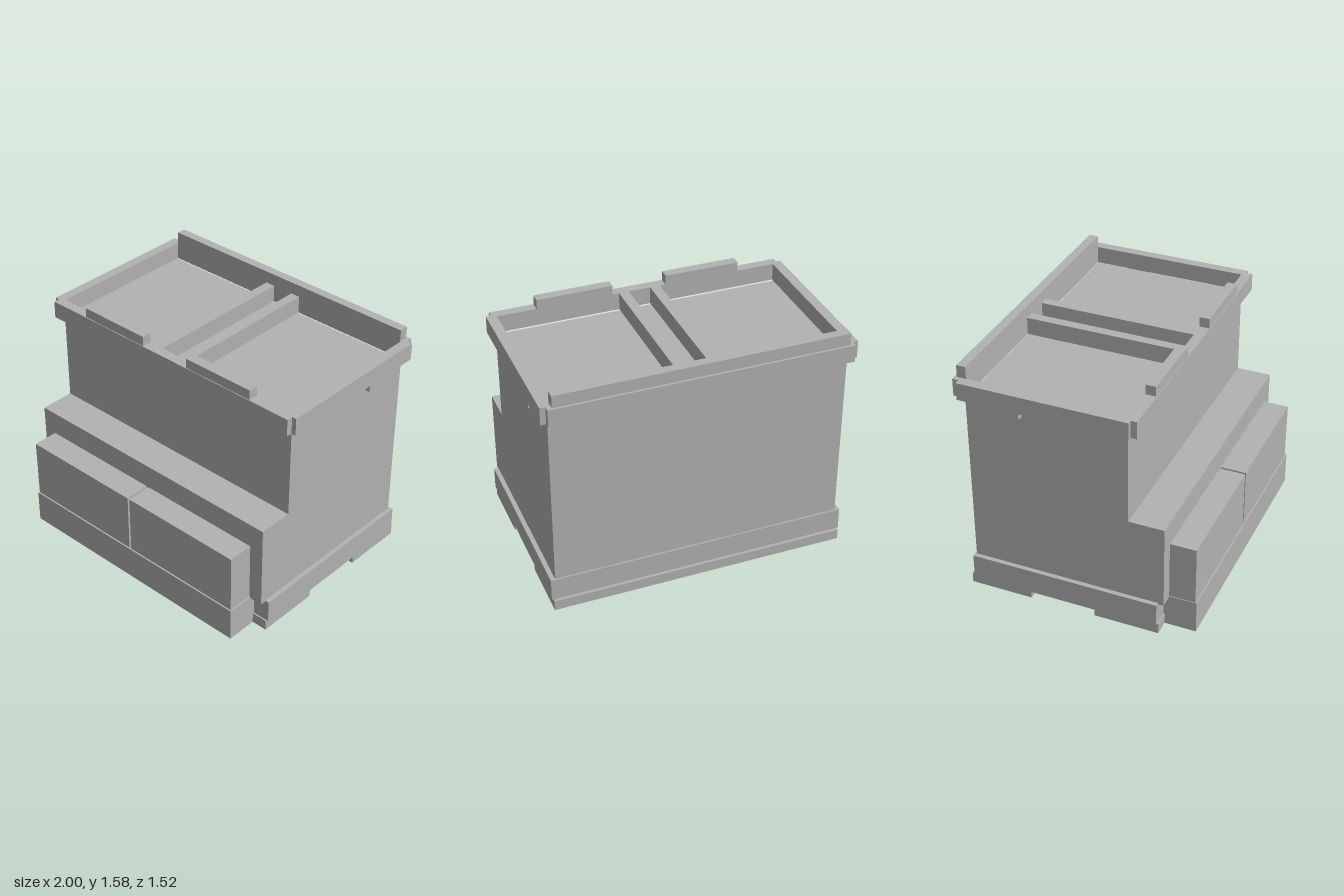
import * as THREE from 'three';

export function createModel() {
  const model = new THREE.Group();
  model.name = 'storageCrate';
  const grey = new THREE.MeshStandardMaterial({ color: 0xb2b2b2 });
  grey.name = 'plainGrey';

  function add(name, geometry) {
    const mesh = new THREE.Mesh(geometry, grey);
    mesh.name = name;
    model.add(mesh);
    return mesh;
  }

  // Box given by its limits on each axis
  function box(name, x0, x1, y0, y1, z0, z1) {
    const geometry = new THREE.BoxGeometry(x1 - x0, y1 - y0, z1 - z0);
    geometry.translate((x0 + x1) / 2, (y0 + y1) / 2, (z0 + z1) / 2);
    return add(name, geometry);
  }

  const toShape = (points) => new THREE.Shape(points.map(([a, b]) => new THREE.Vector2(a, b)));

  // Side profile of [z, y] points, extruded across the width
  function sideProfile(name, points, halfWidth) {
    const geometry = new THREE.ExtrudeGeometry(toShape(points), { depth: halfWidth * 2, bevelEnabled: false });
    geometry.translate(0, 0, -halfWidth);
    geometry.rotateY(-Math.PI / 2);
    // the turn sends shape x to +z and depth to -x
    return add(name, geometry);
  }

  // Stepped body
  sideProfile('body', [
    [-0.69, 0.21], [0.58, 0.21], [0.58, 0.775], [0.35, 0.775], [0.35, 1.375], [-0.69, 1.375],
  ], 0.95);

  // Base with a channel underneath and a low lip
  box('base', -0.98, 0.98, 0.07, 0.22, -0.7, 0.545);
  sideProfile('baseLip', [
    [-0.72, 0], [-0.305, 0], [-0.305, 0.045], [0.13, 0.045],
    [0.13, 0], [0.555, 0], [0.555, 0.07], [-0.72, 0.07],
  ], 0.97);
  box('frontStep', -0.865, 0.865, 0, 0.22, 0.54, 0.76);

  // Two front boxes
  box('rightFrontBox', -0.86, -0.01, 0.22, 0.615, 0.58, 0.75);
  box('leftFrontBox', 0.005, 0.855, 0.22, 0.615, 0.58, 0.75);

  // Lid frame with notched corners and three openings, drawn as [x, -z]
  const lid = toShape([
    [-0.97, -0.415], [0.97, -0.415], [0.97, -0.375], [1, -0.375], [1, 0.72], [0.965, 0.72],
    [0.965, 0.76], [-0.965, 0.76], [-0.965, 0.72], [-1, 0.72], [-1, -0.375], [-0.97, -0.375],
  ]);
  for (const [x0, x1] of [[-0.935, -0.14], [-0.075, 0.07], [0.135, 0.935]]) {
    lid.holes.push(toShape([[x0, -0.35], [x0, 0.685], [x1, 0.685], [x1, -0.35]]));
  }
  const lidGeometry = new THREE.ExtrudeGeometry(lid, { depth: 0.115, bevelEnabled: false });
  lidGeometry.rotateX(-Math.PI / 2);
  lidGeometry.translate(0, 1.385, 0);
  add('lidFrame', lidGeometry);

  // Raised rail and stops on the lid
  box('backRail', -0.935, 0.935, 1.5, 1.58, -0.745, -0.685);
  box('rightFrontStop', -0.68, -0.18, 1.5, 1.565, 0.345, 0.41);
  box('leftFrontStop', 0.18, 0.68, 1.5, 1.565, 0.345, 0.41);

  // Catches under the lid sides
  box('rightCatch', -0.995, -0.95, 1.34, 1.385, -0.465, -0.32);
  box('leftCatch', 0.95, 0.995, 1.34, 1.385, -0.465, -0.32);

  return model;
}
